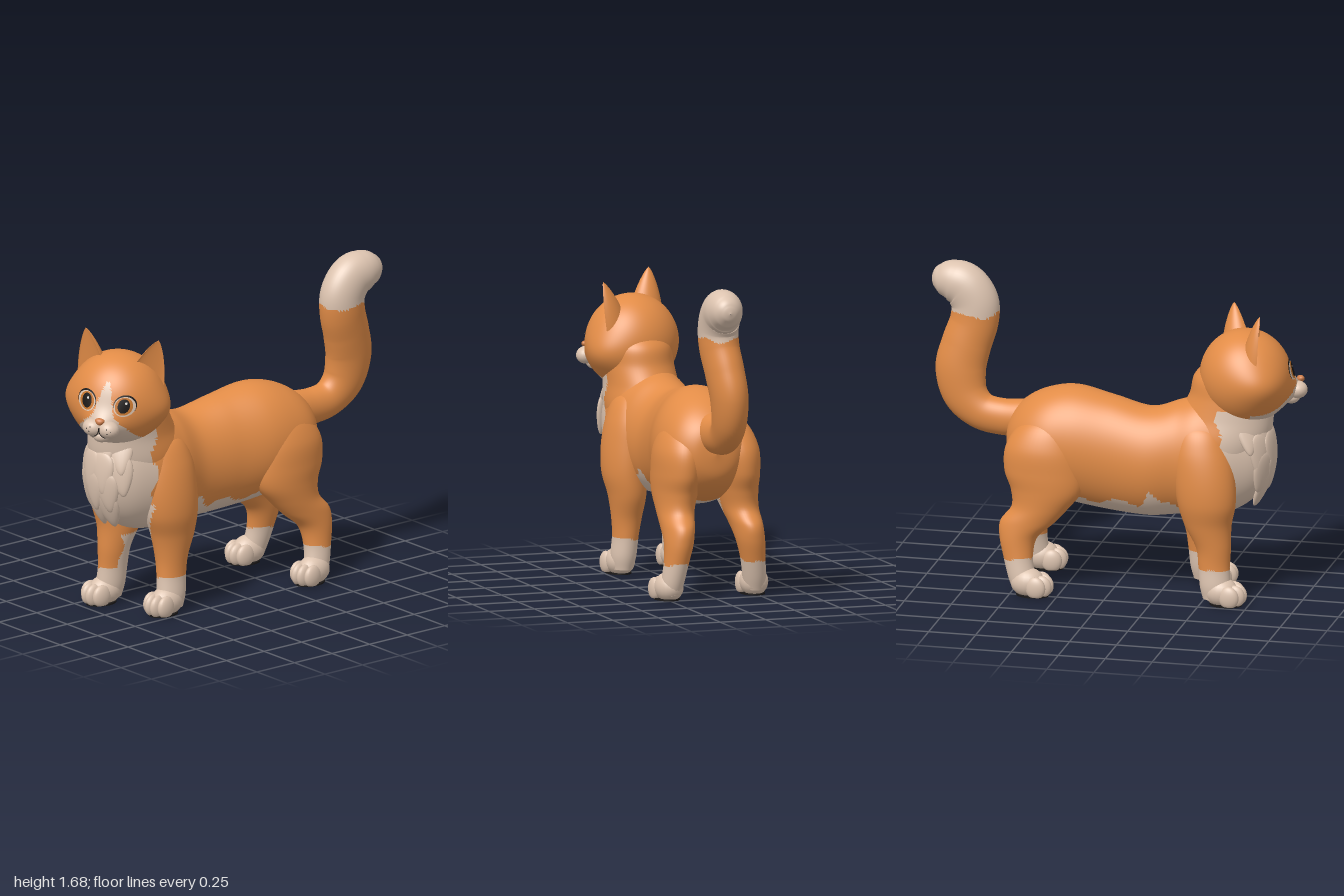
import * as THREE from 'three';
import { mergeVertices } from 'three/addons/utils/BufferGeometryUtils.js';

const mat = (name, color) => Object.assign(new THREE.MeshStandardMaterial({ color }), { name });
const orange = mat('orange fur', 0xe28c47);
const cream = mat('cream fur', 0xdcc3af);
const black = mat('black', 0x1b1817);
const amber = mat('amber iris', 0xc9782f);
const nosePink = mat('nose', 0xcf7f4c);
const glintWhite = mat('eye glint', 0xf4efe8);
const X = new THREE.Vector3(1, 0, 0), Y = new THREE.Vector3(0, 1, 0), Z = new THREE.Vector3(0, 0, 1);

function add(parent, name, geo, material) {
  const mesh = new THREE.Mesh(geo, material);
  mesh.name = name;
  parent.add(mesh);
  return mesh;
}

// Sort triangles into orange and cream groups by a rule on the triangle centre
function paint(geo, isCream) {
  const p = geo.attributes.position, idx = geo.index.array, sets = [[], []];
  for (let i = 0; i < idx.length; i += 3) {
    const t = [idx[i], idx[i + 1], idx[i + 2]];
    const mid = (get) => t.reduce((sum, k) => sum + p[get](k), 0) / 3;
    sets[isCream(mid('getX'), mid('getY'), mid('getZ')) ? 1 : 0].push(...t);
  }
  geo.setIndex([...sets[0], ...sets[1]]);
  geo.addGroup(0, sets[0].length, 0);
  geo.addGroup(sets[0].length, sets[1].length, 1);
  return geo;
}

// Skin over elliptical rings [x, y, z, side radius, other radius]; rings face `axis`, or follow the path
function loft(rows, axis, steps, segs) {
  const path = new THREE.CatmullRomCurve3(rows.map((r) => new THREE.Vector3(r[0], r[1], r[2])), false, 'catmullrom');
  const size = new THREE.CatmullRomCurve3(rows.map((r) => new THREE.Vector3(r[3], r[4], 0)), false, 'catmullrom');
  const pos = [], idx = [];
  for (let i = 0; i <= steps; i++) {
    const c = path.getPoint(i / steps), r = size.getPoint(i / steps);
    const t = axis || path.getTangent(i / steps).setX(0).normalize();
    const v = new THREE.Vector3().crossVectors(t, X);
    for (let j = 0; j < segs; j++) {
      const a = (j / segs) * Math.PI * 2;
      const q = c.clone().addScaledVector(X, Math.max(r.x, 0.001) * Math.cos(a)).addScaledVector(v, Math.max(r.y, 0.001) * Math.sin(a));
      pos.push(q.x, q.y, q.z);
      if (i === steps) continue;
      const k = i * segs + j, n = i * segs + ((j + 1) % segs);
      idx.push(k, n, k + segs, n, n + segs, k + segs);
    }
  }
  const geo = new THREE.BufferGeometry();
  geo.setAttribute('position', new THREE.Float32BufferAttribute(pos, 3));
  geo.setIndex(idx);
  geo.computeVertexNormals();
  return geo;
}

// Move every vertex by a rule and rebuild seamless smooth normals
function reshape(geo, rule) {
  geo.deleteAttribute('uv');
  geo.deleteAttribute('normal');
  const p = geo.attributes.position, v = new THREE.Vector3();
  for (let i = 0; i < p.count; i++) {
    rule(v.fromBufferAttribute(p, i));
    p.setXYZ(i, v.x, v.y, v.z);
  }
  const out = mergeVertices(geo, 1e-5);
  out.computeVertexNormals();
  return out;
}

const ball = new THREE.SphereGeometry(1, 22, 16);
const dot = new THREE.SphereGeometry(1, 8, 6);
const flatBall = reshape(new THREE.SphereGeometry(1, 22, 16), (v) => { v.y = Math.max(v.y, -0.8); });
function blob(parent, name, material, at, radii, geo = ball) {
  const m = add(parent, name, geo, material);
  m.position.set(...at);
  m.scale.set(...radii);
  return m;
}

// Face surface in head space: rounded skull plus a soft muzzle bump
const bump = (x, y) => 0.07 * Math.exp(-((x / 0.1) ** 2) - ((y + 0.09) / 0.075) ** 2);
const faceZ = (x, y) => 0.24 * Math.sqrt(Math.max(0, 1 - (x / 0.25) ** 2 - (y / 0.25) ** 2)) + bump(x, y);

// Thin oval plate that hugs the face
function plate(parent, name, material, x, y, rx, ry, lift) {
  add(parent, name, reshape(new THREE.RingGeometry(0.001, 1, 36, 6), (v) => {
    v.set(x + v.x * rx, y + v.y * ry, 0);
    v.z = faceZ(v.x, v.y) + lift;
  }), material);
}

function buildHead() {
  const head = new THREE.Group();
  head.name = 'head';
  // Skull with full cheeks
  const skull = reshape(new THREE.SphereGeometry(1, 104, 76), (v) => {
    const front = v.z > 0, cheek = 1 + 0.12 * v.x ** 4 * Math.exp(-(((v.y + 0.15) / 0.5) ** 2));
    v.set(v.x * 0.25 * cheek, v.y * 0.25, v.z * (front ? 0.24 : 0.235));
    if (front) v.z += bump(v.x, v.y);
  });
  add(head, 'skull', paint(skull, (x, y, z) => {
    const ax = Math.abs(x);
    const blaze = y < 0.14 && ax < 0.012 + (0.14 - y) * 0.27;
    const cheekLine = ax < 0.11 ? 0.03 - ax : -0.08 - 1.4 * (ax - 0.11);
    return (z > 0.02 && blaze) || (z > -0.04 && y < Math.min(cheekLine, -0.02));
  }), [orange, cream]);

  // Muzzle, chin, nose and mouth
  blob(head, 'chin', cream, [0, -0.135, 0.25], [0.045, 0.035, 0.045]);
  const nose = reshape(new THREE.SphereGeometry(1, 24, 16), (v) => { v.x *= 1 + 0.4 * v.y; });
  blob(head, 'nose', nosePink, [0, -0.045, 0.303], [0.024, 0.019, 0.02], nose);
  for (const s of [1, -1]) {
    blob(head, 'muzzlePuff', cream, [s * 0.042, -0.09, 0.27], [0.056, 0.046, 0.052]);
    const lip = new THREE.CatmullRomCurve3([[0.001, -0.075, 0.309], [0.006, -0.11, 0.307], [0.03, -0.132, 0.292], [0.062, -0.126, 0.285]]
      .map(([x, y, z]) => new THREE.Vector3(s * x, y, z)));
    add(head, 'mouthLine', new THREE.TubeGeometry(lip, 16, 0.0022, 6), black);
    for (const [x, y, z] of [[0.045, -0.077, 0.32], [0.065, -0.087, 0.317], [0.05, -0.099, 0.321]]) {
      blob(head, 'whiskerSpot', black, [s * x, y, z], [0.003, 0.003, 0.003], dot);
    }
    // Eye, stacked from thin plates
    const ex = s * 0.103, ey = 0.032;
    plate(head, 'eyeOutline', black, ex, ey + 0.003, 0.056, 0.054, 0.003);
    plate(head, 'eyeWhite', cream, ex, ey - 0.002, 0.053, 0.051, 0.005);
    plate(head, 'iris', amber, ex - s * 0.003, ey, 0.043, 0.046, 0.007);
    plate(head, 'pupil', black, ex - s * 0.003, ey + 0.002, 0.029, 0.037, 0.009);
    plate(head, 'eyeGlint', glintWhite, ex + 0.008, ey + 0.017, 0.006, 0.007, 0.011);

    // Ear: pointed shell, rounded behind and hollow at the front
    const outline = [];
    for (let i = 0; i <= 20; i++) {
      const t = i / 20;
      outline.push(new THREE.Vector2(0.1 * (1 - t) ** 0.8 * (1 + 0.3 * t), 0.245 * t));
    }
    const shell = reshape(new THREE.LatheGeometry(outline, 40), (v) => { v.z *= v.z > 0 ? -0.15 : 0.85; });
    const ear = add(head, 'ear', shell, orange);
    ear.position.set(s * 0.145, 0.112, 0.02);
    ear.rotation.set(0, s * 0.4, -s * 0.22, 'ZYX');
  }
  head.position.set(0.032, 1.18, 0.686);
  head.rotation.set(0, 0.58, -0.08, 'YXZ');
  return head;
}

function buildPaw(parent, x, z, s) {
  const paw = new THREE.Group();
  paw.name = 'paw';
  blob(paw, 'pawBase', cream, [0, 0.068, -0.02], [0.074, 0.077, 0.092], flatBall);
  [-0.054, -0.019, 0.019, 0.054].forEach((tx, i) => {
    const inner = i === 1 || i === 2;
    blob(paw, 'toe', cream, [tx, 0.054, inner ? 0.06 : 0.038], [0.028, 0.06, 0.054], flatBall);
  });
  const sole = add(paw, 'sole', new THREE.CylinderGeometry(1, 1, 0.008, 32), black);
  sole.scale.set(0.064, 1, 0.086);
  sole.position.set(0, 0.004, 0.005);
  paw.position.set(x, 0, z);
  paw.rotation.y = s * 0.08;
  parent.add(paw);
}

export function createModel() {
  const cat = new THREE.Group();
  cat.name = 'cat';
  const fur = [orange, cream];
  const bib = (y, z) => y < 1.04 && z > 0.59 + 0.02 * Math.sin(30 * y);

  // Torso with pale belly and chest
  const torso = loft([
    [0.02, 0.77, -0.575, 0.001, 0.001], [0.02, 0.77, -0.55, 0.12, 0.13], [0.015, 0.77, -0.47, 0.205, 0.22],
    [0.005, 0.77, -0.35, 0.245, 0.282], [0, 0.765, -0.2, 0.245, 0.31], [-0.02, 0.735, 0, 0.215, 0.305],
    [-0.035, 0.71, 0.2, 0.21, 0.29], [-0.01, 0.735, 0.35, 0.222, 0.305], [0, 0.75, 0.47, 0.232, 0.322],
    [0.01, 0.76, 0.6, 0.21, 0.31], [0.02, 0.775, 0.7, 0.175, 0.275], [0.02, 0.785, 0.78, 0.125, 0.205],
    [0.02, 0.79, 0.825, 0.06, 0.11], [0.02, 0.79, 0.84, 0.001, 0.001]], Z, 117, 80);
  add(cat, 'torso', paint(torso, (x, y, z) => bib(y, z) ||
    (z > -0.36 && y < 0.515 + 0.02 * Math.sin(26 * z) + 0.08 * Math.exp(-(((z - 0.23) / 0.035) ** 2)))), fur);

  // Neck
  const neck = loft([[0, 0.68, 0.54, 0.18, 0.18], [0.01, 0.85, 0.55, 0.205, 0.265], [0.02, 0.98, 0.59, 0.19, 0.248],
    [0.03, 1.08, 0.612, 0.185, 0.217], [0.035, 1.18, 0.62, 0.175, 0.2], [0.035, 1.26, 0.64, 0.12, 0.14]], Y, 45, 64);
  add(cat, 'neck', paint(neck, (x, y, z) => bib(y, z)), fur);

  // Chest ruff: broad, shallow overlapping locks of fur
  const lock = reshape(new THREE.SphereGeometry(1, 20, 16), (v) => { v.x *= 1 + 0.45 * v.y; });
  [[0.91, 4], [0.8, 4], [0.7, 3], [0.6, 2]].forEach(([y, n], row) => {
    for (let i = 0; i < n; i++) {
      const x = (i - (n - 1) / 2) * 0.082 + (row % 2 ? 0.012 : -0.008), v = (y - 0.77) / 0.3, u = x / 0.2;
      const w = Math.sqrt(1 - u * u - v * v);
      const m = blob(cat, 'ruffLock', cream, [0.02 + x, y, 0.597 + 0.235 * w], [0.066, 0.115, 0.024], lock);
      m.rotation.set(Math.atan(-0.78 * v / w) * 0.8, Math.atan(u / w) * 0.9, x * 1.2, 'YXZ');
    }
  });

  for (const s of [1, -1]) {
    const side = s > 0 ? 'left' : 'right';
    // Front leg; the right one is set further forward
    const stride = (y) => (s > 0 ? 0 : 0.13 * Math.min(1, (1 - y) / 0.7));
    const front = [[0.03, 0.172, 0.455, 0.055, 0.075], [0.1, 0.168, 0.445, 0.066, 0.082], [0.2, 0.16, 0.437, 0.067, 0.083],
      [0.3, 0.155, 0.432, 0.078, 0.092], [0.42, 0.155, 0.425, 0.097, 0.124], [0.54, 0.165, 0.442, 0.113, 0.153],
      [0.68, 0.155, 0.452, 0.12, 0.163], [0.82, 0.132, 0.455, 0.115, 0.155], [0.93, 0.105, 0.465, 0.088, 0.115],
      [0.98, 0.1, 0.47, 0.001, 0.001]].map(([y, x, z, a, b]) => [s * x, y, z + stride(y), a, b]);
    add(cat, side + 'FrontLeg', paint(loft(front, Y, 72, 48), (x, y, z) => {
      if (y < 0.195 + 0.008 * Math.sin(40 * x)) return true;
      if (s < 0) return y < 0.38 && x > -0.14 && z < 0.575 + 0.015 * Math.sin(35 * y);
      return y > 0.37 && y < 0.62 && z > 0.45 && x < 0.1 + (y - 0.37) * 0.5;
    }), fur);
    buildPaw(cat, s * 0.175, 0.497 + stride(0), s);

    // Hind leg with broad thigh and hock
    const step = s > 0 ? 0 : 0.04;
    const hind = [[0.03, 0.238, -0.455, 0.055, 0.07], [0.1, 0.23, -0.475, 0.06, 0.072], [0.2, 0.215, -0.49, 0.064, 0.078],
      [0.3, 0.2, -0.485, 0.074, 0.1], [0.38, 0.19, -0.435, 0.082, 0.142], [0.46, 0.178, -0.365, 0.094, 0.15],
      [0.55, 0.167, -0.328, 0.11, 0.188], [0.65, 0.16, -0.335, 0.12, 0.213], [0.78, 0.147, -0.342, 0.124, 0.2],
      [0.9, 0.118, -0.325, 0.095, 0.135], [0.96, 0.11, -0.31, 0.001, 0.001]]
      .map(([y, x, z, a, b]) => [s * x, y, z + step * Math.max(0, 1 - y / 0.6), a, b]);
    add(cat, side + 'HindLeg', paint(loft(hind, Y, 70, 48), (x, y, z) => y < 0.195 + 0.008 * Math.sin(40 * z) ||
      (y > 0.42 && y < 0.54 && s * x < 0.1 && z > -0.35)), fur);
    buildPaw(cat, s * 0.243, -0.425 + step, s);
  }

  // Tail rising in an S with a pale tip
  const tail = loft([[0.02, 0.875, -0.45, 0.09, 0.1], [0.025, 0.87, -0.6, 0.078, 0.097], [0.03, 0.895, -0.72, 0.08, 0.1],
    [0.04, 0.98, -0.805, 0.088, 0.12], [0.05, 1.11, -0.832, 0.096, 0.133], [0.065, 1.24, -0.805, 0.1, 0.13],
    [0.08, 1.36, -0.768, 0.102, 0.127], [0.085, 1.46, -0.765, 0.103, 0.126], [0.088, 1.54, -0.815, 0.103, 0.122],
    [0.093, 1.567, -0.885, 0.098, 0.11], [0.097, 1.57, -0.95, 0.075, 0.08], [0.1, 1.568, -0.985, 0.04, 0.042],
    [0.1, 1.567, -0.998, 0.001, 0.001]], null, 96, 48);
  add(cat, 'tail', paint(tail, (x, y, z) => y > 1.41 + 0.012 * Math.sin(30 * x + 20 * z)), fur);

  cat.add(buildHead());
  return cat;
}
